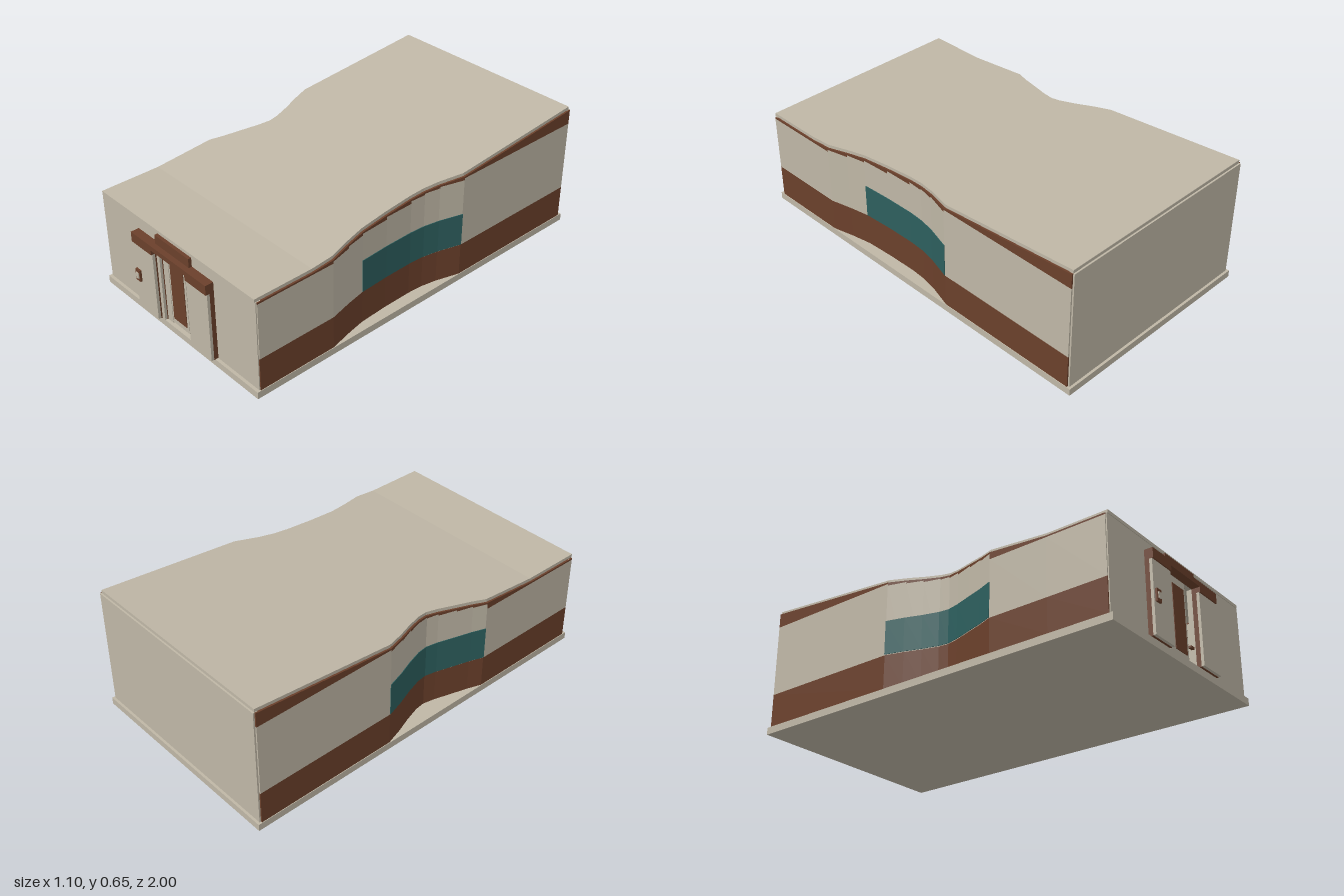
import * as THREE from 'three';

const mat = (name, color) => Object.assign(new THREE.MeshStandardMaterial({ color }), { name });

export function createModel() {
  const model = new THREE.Group();
  model.name = 'building';
  const cream = mat('cream', 0xbfb7a6);
  const brown = mat('brown', 0x6b402b);
  const teal = mat('teal', 0x2d5f5e);

  // roof top: flat at the front, then rising to the back
  const KINK = 0.65, BACK = -0.98;
  const roofTop = z => 0.505 + 0.145 * Math.max(0, (KINK - z) / (KINK - BACK));
  const roofUnder = z => roofTop(z) - 0.016;

  const add = (parent, name, geometry, material) => {
    const mesh = new THREE.Mesh(geometry, material);
    mesh.name = name;
    parent.add(mesh);
    return mesh;
  };
  // box given by its limits
  const box = (parent, name, material, x0, x1, y0, y1, z0, z1) => {
    const g = new THREE.BoxGeometry(x1 - x0, y1 - y0, z1 - z0);
    g.translate((x0 + x1) / 2, (y0 + y1) / 2, (z0 + z1) / 2);
    return add(parent, name, g, material);
  };
  // prism over a plan outline of [x, z] points, bottom and top heights as functions of z
  const slab = (parent, name, material, plan, bottom, top) => {
    const shape = new THREE.Shape(plan.map(([x, z]) => new THREE.Vector2(x, -z)));
    const g = new THREE.ExtrudeGeometry(shape, { depth: 1, bevelEnabled: false });
    g.rotateX(-Math.PI / 2);
    const p = g.attributes.position;
    for (let i = 0; i < p.count; i++) {
      const z = p.getZ(i);
      p.setY(i, p.getY(i) > 0.5 ? top(z) : bottom(z));
    }
    g.computeVertexNormals();
    return add(parent, name, g, material);
  };

  // side wall plans, front to back: [z, distance from the centre line]
  const leftPlan = [[0.945, 0.545], [KINK, 0.545], [0.54, 0.545], [0.43, 0.519], [0.33, 0.5],
    [0.18, 0.492], [0.03, 0.49], [-0.05, 0.495], [-0.13, 0.51], [-0.25, 0.545], [BACK, 0.545]];
  const rightPlan = [[0.945, 0.545], [KINK, 0.545], [0.35, 0.545], [0.28, 0.52], [0.2, 0.497],
    [0.11, 0.47], [0.05, 0.458], [0, 0.464], [-0.08, 0.488], [-0.16, 0.518], [-0.25, 0.545], [BACK, 0.545]];

  // base
  box(model, 'base', cream, -0.548, 0.548, 0, 0.035, -1, 0.965);

  // side walls in bands: plinth, wall, window, stepped top trim
  const sideWall = (name, plan, side, windowFront) => {
    const group = new THREE.Group();
    group.name = name;
    model.add(group);
    for (let i = 0; i < plan.length - 1; i++) {
      const [za, xa] = plan[i], [zb, xb] = plan[i + 1];
      const strip = (inner, outer) => [[side * (xa + outer), za], [side * (xb + outer), zb],
        [side * (xb - inner), zb], [side * (xa - inner), za]];
      const step = roofUnder(za) - 0.008;
      slab(group, 'plinth', brown, strip(0.02, 0), () => 0.035, () => 0.2);
      slab(group, 'wallPanel', cream, strip(0.02, 0), () => 0.2, () => step);
      slab(group, 'topTrim', brown, strip(0.02, 0), () => step, roofUnder);
      if (za <= windowFront && zb >= -0.25)
        slab(group, 'window', teal, strip(0, 0.003), () => 0.203, () => 0.37);
    }
  };
  sideWall('leftWall', leftPlan, 1, 0.33);
  sideWall('rightWall', rightPlan, -1, 0.35);

  // roof in three lengths, following the waists of the side walls
  const roofPiece = (front, back) => {
    const edge = (plan, side) => plan.filter(([z]) => z <= front && z >= back)
      .map(([z, x]) => [side * (x - 0.009), z === 0.945 ? 0.953 : z]);
    const plan = [...edge(leftPlan, 1), ...edge(rightPlan, -1).reverse()];
    slab(model, 'roof', cream, plan, roofUnder, roofTop);
  };
  roofPiece(0.945, KINK);
  roofPiece(KINK, -0.25);
  roofPiece(-0.25, BACK);

  // back wall
  box(model, 'backWall', cream, -0.538, 0.538, 0.035, 0.634, -0.988, -0.965);

  // front wall around the entrance
  for (const s of [-1, 1]) {
    const [a, b] = s < 0 ? [-0.54, -0.12] : [0.12, 0.54];
    box(model, 'frontWall', cream, a, b, 0.035, 0.489, 0.925, 0.95);
  }
  box(model, 'frontWallTop', cream, -0.12, 0.12, 0.415, 0.489, 0.925, 0.95);

  // entrance: lintel, rail and sliding panels on both sides
  const entrance = new THREE.Group();
  entrance.name = 'entrance';
  model.add(entrance);
  box(entrance, 'lintel', brown, -0.12, 0.12, 0.415, 0.485, 0.95, 0.966);
  box(entrance, 'rail', brown, -0.265, 0.265, 0.415, 0.44, 0.95, 0.992);
  for (const s of [-1, 1]) {
    const [a, b] = s < 0 ? [-0.265, -0.12] : [0.12, 0.265];
    box(entrance, 'railDrop', brown, a, b, 0.39, 0.415, 0.95, 0.992);
    box(entrance, 'panelBack', brown, a, b, 0.037, 0.39, 0.95, 0.972);
    box(entrance, 'slidingPanel', cream, a, b, 0.039, 0.39, 0.972, 0.986);
  }

  // wall reader on the sliding panel
  box(entrance, 'reader', brown, -0.255, -0.222, 0.193, 0.252, 0.986, 0.996);
  box(entrance, 'readerScreen', cream, -0.248, -0.229, 0.208, 0.237, 0.996, 1);

  // half-open inner door with its posts and handle
  box(entrance, 'outerPost', cream, -0.12, -0.1, 0.035, 0.415, 0.93, 0.965);
  box(entrance, 'postGap', brown, -0.1, -0.097, 0.035, 0.385, 0.93, 0.953);
  box(entrance, 'innerPost', cream, -0.097, -0.06, 0.035, 0.415, 0.93, 0.95);
  box(entrance, 'door', cream, -0.06, 0.06, 0.04, 0.415, 0.925, 0.948);
  box(entrance, 'doorInset', brown, -0.048, 0.046, 0.068, 0.38, 0.948, 0.951);
  box(entrance, 'doorEdge', brown, 0.06, 0.064, 0.035, 0.415, 0.925, 0.946);
  box(entrance, 'handle', brown, 0.092, 0.12, 0.126, 0.136, 0.93, 0.945);

  return model;
}
